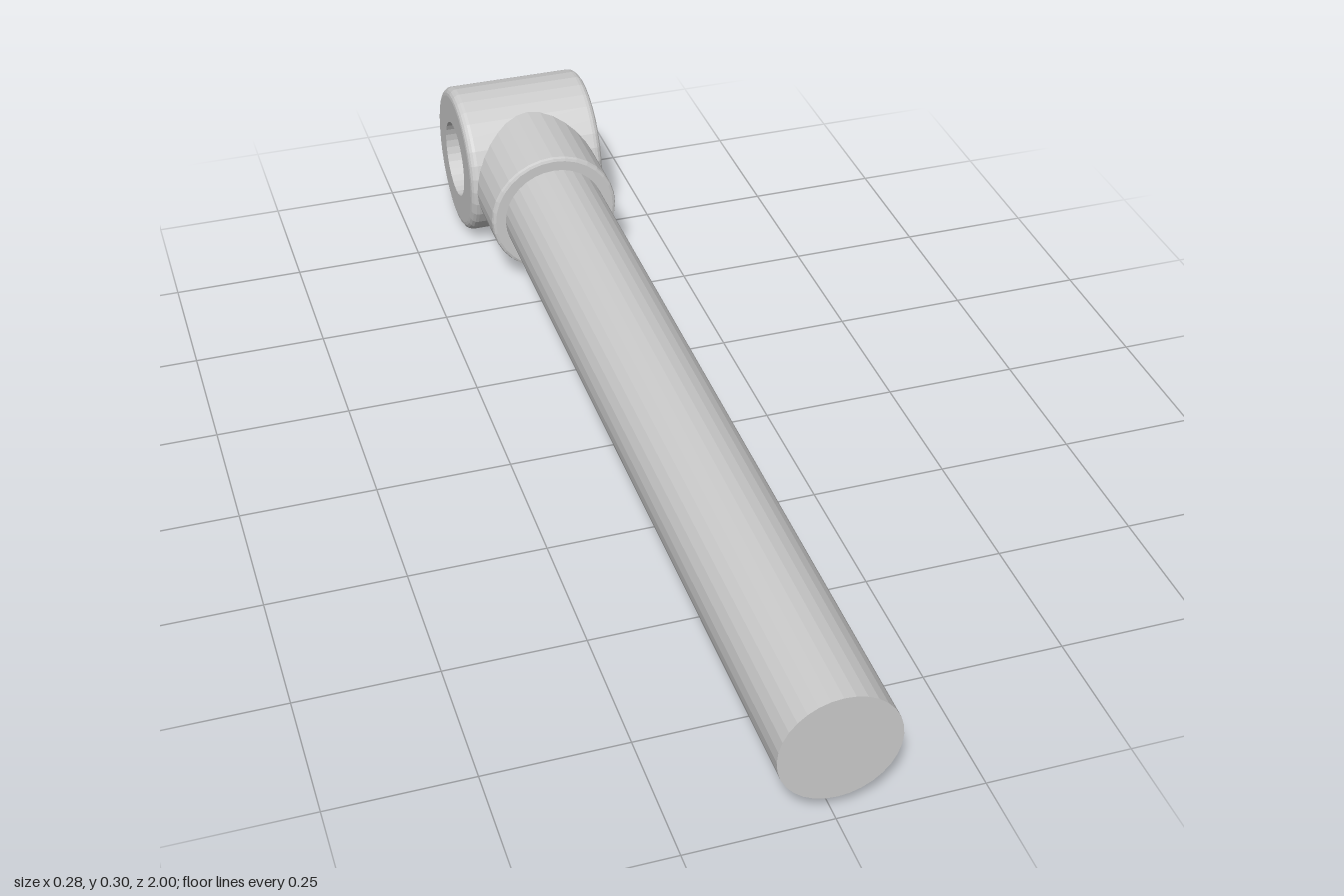
import * as THREE from 'three';

const AXIS_Y = 0.151, EYE_Z = -0.85, EYE_R = 0.15, EYE_HALF = 0.14;
const HOLE_R = 0.078, ROD_R = 0.102, COLLAR_R = 0.129, COLLAR_FRONT = -0.577;
const SIDES = 32;

export function createModel() {
  const group = new THREE.Group();
  const material = new THREE.MeshStandardMaterial({ color: 0xcccccc, flatShading: true });
  const add = (name, geometry, z) => {
    const mesh = new THREE.Mesh(geometry, material);
    mesh.name = name;
    mesh.position.set(0, AXIS_Y, z);
    group.add(mesh);
  };
  const lathe = (points) =>
    new THREE.LatheGeometry(points.map(([r, h]) => new THREE.Vector2(r, h)), SIDES);

  // Long round rod, its back end seated inside the collar
  const rodBack = -0.6;
  const rod = new THREE.CylinderGeometry(ROD_R, ROD_R, 1 - rodBack, SIDES).rotateX(Math.PI / 2);
  add('rod', rod, (1 + rodBack) / 2);

  // Cross eye: a thick ring along x with rounded outer rims
  const bevel = 0.016, rim = [];
  for (let i = 0; i <= 4; i++) {
    const a = (i / 4) * Math.PI / 2;
    rim.push([EYE_R - bevel * (1 - Math.cos(a)), EYE_HALF - bevel * (1 - Math.sin(a))]);
  }
  const lowerRim = rim.map(([r, h]) => [r, -h]).reverse();
  const eye = lathe([[HOLE_R, -EYE_HALF], ...lowerRim, ...rim, [HOLE_R, EYE_HALF], [HOLE_R, -EYE_HALF]]);
  add('eye', eye.rotateZ(Math.PI / 2), EYE_Z);

  // Collar with a softened front lip; its back edge is saddled into the eye
  const front = COLLAR_FRONT - EYE_Z;
  const collar = lathe([[COLLAR_R, 0], [COLLAR_R, front - 0.007], [COLLAR_R - 0.002, front - 0.002],
    [COLLAR_R - 0.007, front], [ROD_R - 0.004, front]]).rotateX(Math.PI / 2);
  const p = collar.attributes.position;
  for (let i = 0; i < p.count; i++) {
    if (Math.abs(p.getZ(i)) < 1e-6) p.setZ(i, Math.sqrt(0.14 ** 2 - p.getY(i) ** 2));
  }
  collar.computeVertexNormals();
  add('collar', collar, EYE_Z);

  return group;
}
